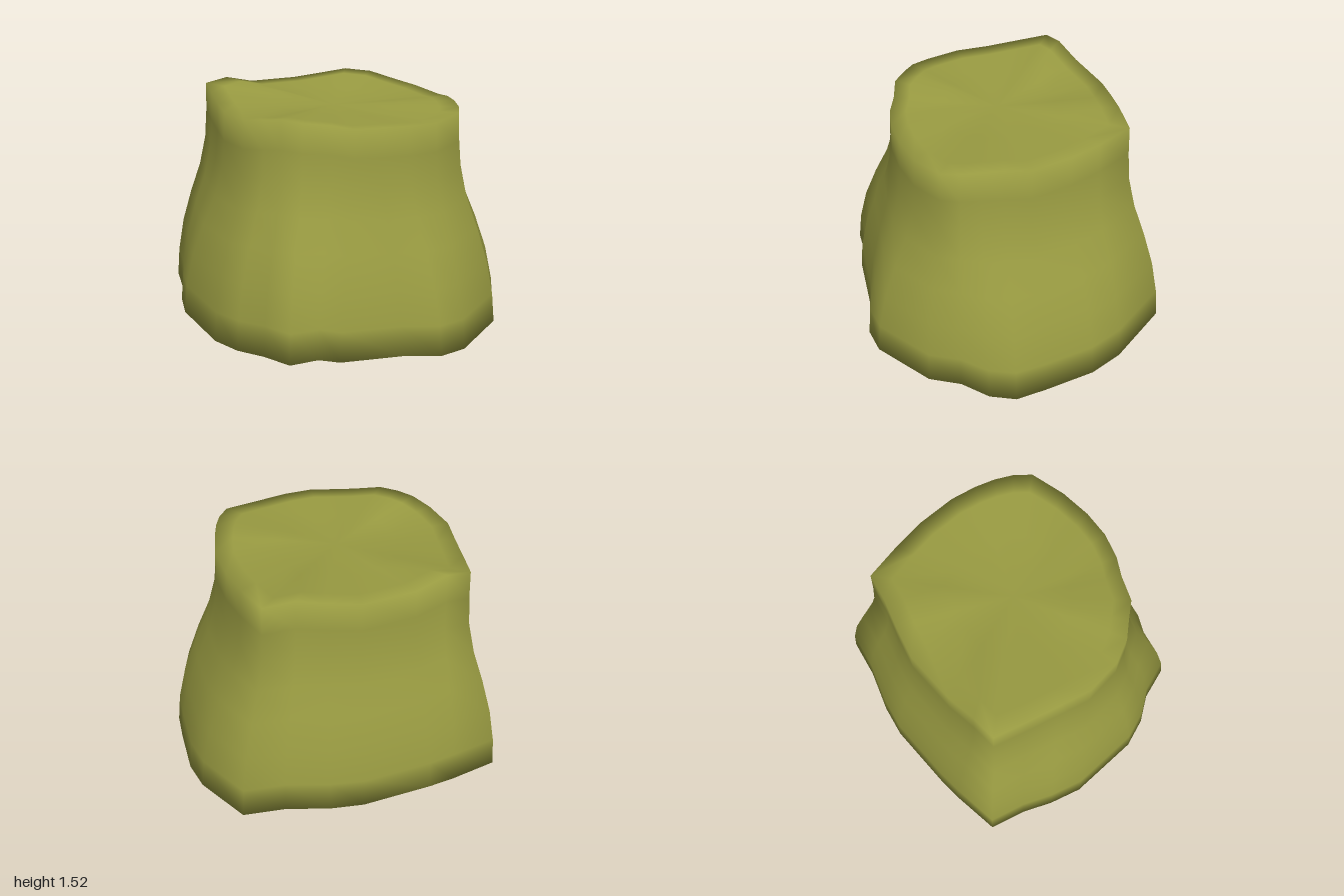
import * as THREE from 'three';
import { mergeVertices } from 'three/addons/utils/BufferGeometryUtils.js';

// Lower outline, clockwise from above: x, y, z
const BASE = [
  [-0.80, 0.13, -0.90], [-0.50, 0.13, -0.94], [-0.34, 0.13, -0.95], [0.10, 0.13, -0.95], [0.30, 0.13, -0.91],
  [0.56, 0.13, -0.82], [0.81, 0.12, -0.77], [0.97, 0.06, -0.39], [1.00, 0.03, -0.18], [0.98, 0.01, 0.14],
  [0.96, 0.00, 0.33], [0.89, 0.03, 0.48], [0.75, 0.06, 0.60], [0.65, 0.09, 0.77], [0.27, 0.08, 0.95],
  [0.10, 0.08, 0.95], [-0.12, 0.10, 0.86], [-0.50, 0.13, 0.78], [-0.61, 0.15, 0.72], [-0.78, 0.15, 0.69],
  [-0.84, 0.13, 0.49], [-0.94, 0.13, 0.34], [-1.00, 0.13, 0.16], [-1.00, 0.13, -0.30], [-0.94, 0.13, -0.50],
  [-0.86, 0.13, -0.68],
];
// Upper rim, point for point with the base
const RIM = [
  [-0.61, 1.50, -0.69], [-0.46, 1.52, -0.70], [-0.27, 1.47, -0.72], [0.05, 1.46, -0.72], [0.24, 1.48, -0.67],
  [0.40, 1.50, -0.62], [0.58, 1.47, -0.58], [0.63, 1.45, -0.35], [0.66, 1.44, -0.15], [0.66, 1.43, 0.10],
  [0.62, 1.45, 0.25], [0.58, 1.45, 0.37], [0.53, 1.44, 0.48], [0.46, 1.43, 0.57], [0.25, 1.41, 0.63],
  [0.05, 1.42, 0.64], [-0.12, 1.43, 0.62], [-0.27, 1.43, 0.57], [-0.38, 1.45, 0.50], [-0.53, 1.47, 0.43],
  [-0.61, 1.48, 0.33], [-0.68, 1.47, 0.25], [-0.74, 1.45, 0.12], [-0.76, 1.45, -0.10], [-0.71, 1.46, -0.30],
  [-0.66, 1.48, -0.50],
];
// Flare of the wall: [height fraction, share of the base outline]
const WALL = [[0, 1], [0.14, 0.93], [0.3, 0.77], [0.46, 0.52], [0.6, 0.26], [0.74, 0.09], [0.87, 0.03], [1, 0]];

// Shrinks an outline towards a centre point
const inset = (ring, s, [cx, cy, cz]) =>
  ring.map(([x, y, z]) => [cx + (x - cx) * s, cy + (y - cy) * s, cz + (z - cz) * s]);

function loft(rings) {
  const n = rings[0].length, index = [];
  for (let j = 0; j < rings.length - 1; j++) {
    for (let i = 0; i < n; i++) {
      const k = (i + 1) % n;
      const a = j * n + i, b = j * n + k, c = a + n, d = b + n;
      if (j < rings.length - 2) index.push(a, c, d);
      else index.push(a, c, b);
      if (j > 0 && j < rings.length - 2) index.push(a, d, b);
    }
  }
  const g = new THREE.BufferGeometry();
  g.setAttribute('position', new THREE.Float32BufferAttribute(rings.flat(2), 3));
  g.setIndex(index);
  const merged = mergeVertices(g, 1e-4);
  merged.computeVertexNormals();
  return merged;
}

export function createModel() {
  const group = new THREE.Group();
  group.name = 'stump';
  const olive = new THREE.MeshStandardMaterial({ color: 0x9a9c42 });
  olive.name = 'olive';

  // Underside, flared wall, then the slightly sunken top
  const under = [0, 0.11, -0.02], crown = [-0.05, 1.42, -0.04];
  const wall = WALL.map(([t, f]) => BASE.map((p, i) => {
    const q = RIM[i];
    return [q[0] + (p[0] - q[0]) * f, p[1] + (q[1] - p[1]) * t, q[2] + (p[2] - q[2]) * f];
  }));
  const rings = [
    inset(BASE, 0, under), inset(BASE, 0.8, under),
    ...wall,
    inset(RIM, 0.85, crown), inset(RIM, 0.5, crown), inset(RIM, 0, crown),
  ];
  const body = new THREE.Mesh(loft(rings), olive);
  body.name = 'body';
  group.add(body);
  return group;
}
